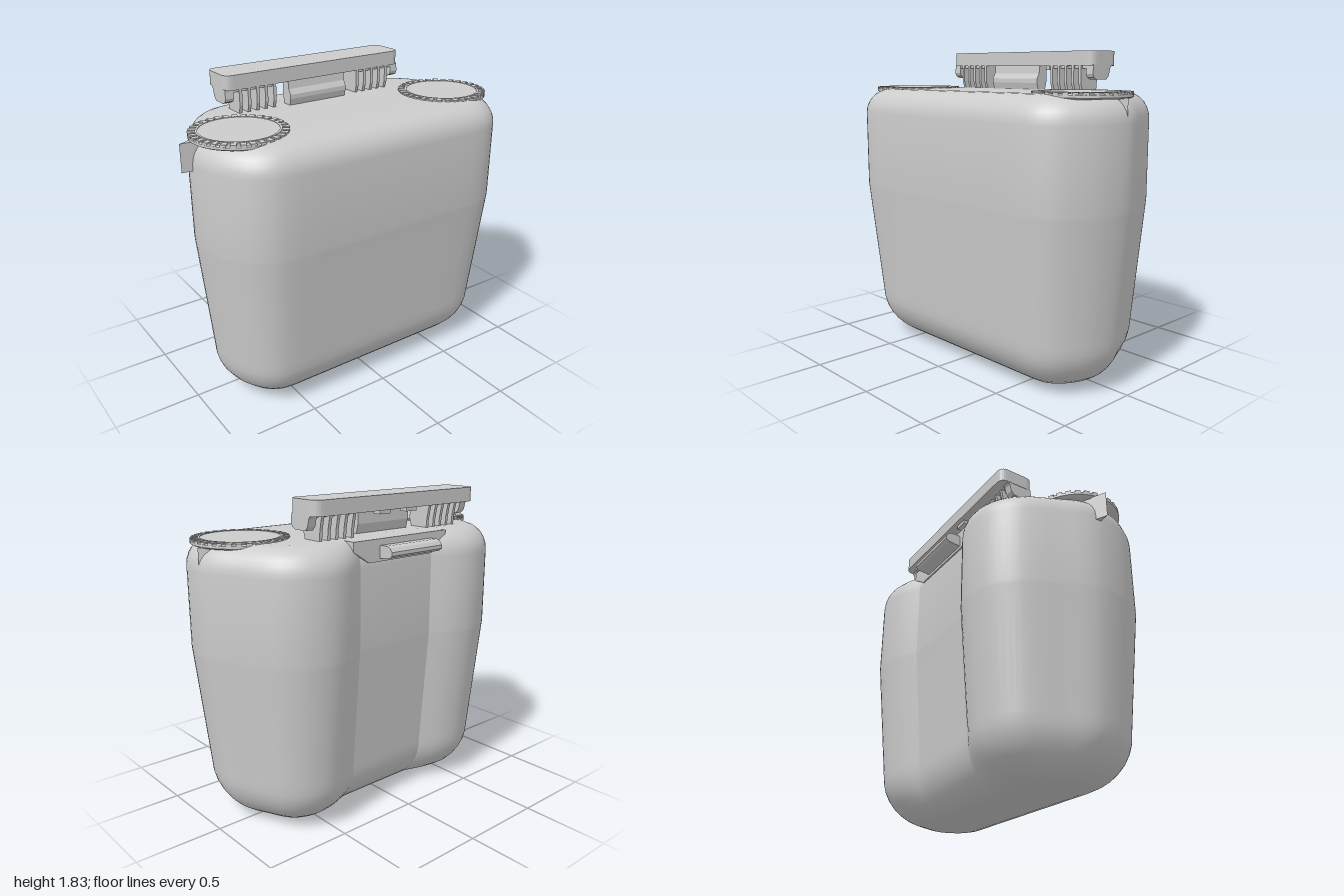
import * as THREE from 'three';
import { toCreasedNormals } from 'three/addons/utils/BufferGeometryUtils.js';

const material = new THREE.MeshStandardMaterial({ color: 0xcccccc });

function addMesh(parent, name, geometry) {
  const mesh = new THREE.Mesh(geometry, material);
  mesh.name = name;
  parent.add(mesh);
  return mesh;
}

// Extrude a side profile of [z, y] points along x
function sideExtrude(points, x, width) {
  const shape = new THREE.Shape(points.map(([z, y]) => new THREE.Vector2(-z, y)));
  const geo = new THREE.ExtrudeGeometry(shape, { depth: width, bevelEnabled: false });
  return geo.rotateY(Math.PI / 2).translate(x - width / 2, 0, 0);
}

// Extrude a plan shape (shape y = -z) upwards
function planExtrude(shape, y, height) {
  const geo = new THREE.ExtrudeGeometry(shape, { depth: height, bevelEnabled: false, curveSegments: 6 });
  return geo.rotateX(-Math.PI / 2).translate(0, y, 0);
}

// Body: two-lobed plan outline lofted upwards, with rounded bottom and top edges
function bodyGeometry() {
  const v = (x, z) => new THREE.Vector2(x, z);
  const curve = new THREE.SplineCurve([
    v(0.6, 0.5), v(0.72, 0.483), v(0.82, 0.425), v(0.89, 0.335), v(0.945, 0.22), v(0.97, 0.08),
    v(0.955, -0.02), v(0.895, -0.15), v(0.825, -0.3), v(0.765, -0.39), v(0.665, -0.465),
    v(0.53, -0.5), v(0.4, -0.475), v(0.27, -0.4)]);
  const half = [v(0, 0.5), v(0.47, 0.5), ...curve.getPoints(40), v(0, -0.4)];
  const outline = [...half, ...half.slice(1, -1).reverse().map((p) => v(-p.x, p.y))];

  const rows = [[0, 0.5]];
  for (let i = 0; i <= 9; i++) {
    const t = (i / 9) * Math.PI / 2;
    rows.push([0.3 * (1 - Math.cos(t)), 0.07 + 0.3 * (1 - Math.sin(t))]);
  }
  rows.push([0.99, 0.002], [1.01, 0]);
  for (let i = 0; i <= 7; i++) {
    const t = (i / 7) * Math.PI / 2;
    rows.push([1.457 + 0.15 * Math.sin(t), 0.15 * (1 - Math.cos(t))]);
  }
  rows.push([1.607, 0.5]);

  const n = outline.length, pos = [], index = [];
  for (const [y, inset] of rows) {
    for (const p of outline) {
      // Each point is drawn towards a central spine
      const spine = THREE.MathUtils.clamp(p.x, -0.47, 0.47), k = inset / 0.5;
      pos.push(THREE.MathUtils.lerp(p.x, spine, k) + 0.03, y, p.y * (1 - k));
    }
  }
  for (let j = 0; j < rows.length - 1; j++) {
    for (let i = 0; i < n; i++) {
      const a = j * n + i, b = j * n + (i + 1) % n;
      index.push(a, b, b + n, a, b + n, a + n);
    }
  }
  const geo = new THREE.BufferGeometry();
  geo.setAttribute('position', new THREE.Float32BufferAttribute(pos, 3));
  geo.setIndex(index);
  return toCreasedNormals(geo, 0.4);
}

// Round top dial with a toothed rim
function makeDial(name, x) {
  const dial = new THREE.Group();
  dial.name = name;
  dial.position.set(x, 0, 0.095);
  addMesh(dial, 'dialDisc', new THREE.CylinderGeometry(0.215, 0.215, 0.03, 40).translate(0, 1.599, 0));
  const rim = [[0.2, 1.58], [0.25, 1.58], [0.265, 1.588], [0.265, 1.602], [0.257, 1.609], [0.225, 1.609],
    [0.225, 1.617], [0.213, 1.617], [0.213, 1.61]];
  const rimGeo = new THREE.LatheGeometry(rim.map(([r, y]) => new THREE.Vector2(r, y)), 40);
  addMesh(dial, 'dialRim', toCreasedNormals(rimGeo, 0.3));
  const count = 32;
  for (let i = 0; i < count; i++) {
    const tooth = addMesh(dial, 'dialTooth', new THREE.BoxGeometry(0.04, 0.026, 0.03));
    const a = (i / count) * Math.PI * 2;
    tooth.position.set(Math.cos(a) * 0.244, 1.602, Math.sin(a) * 0.244);
    tooth.rotation.y = -a;
  }
  return dial;
}

// Top bar: rounded plate with end walls, ribs and a centre block
function makeTopBar() {
  const bar = new THREE.Group();
  bar.name = 'topBar';
  const cx = -0.022, hw = 0.597, z0 = -0.155, z1 = -0.375, r = 0.05;
  const plate = new THREE.Shape();
  plate.moveTo(cx - hw + r, -z0);
  plate.lineTo(cx + hw - r, -z0);
  plate.quadraticCurveTo(cx + hw, -z0, cx + hw, -z0 + r);
  plate.lineTo(cx + hw, -z1 - r);
  plate.quadraticCurveTo(cx + hw, -z1, cx + hw - r, -z1);
  plate.lineTo(cx - hw + r, -z1);
  plate.quadraticCurveTo(cx - hw, -z1, cx - hw, -z1 - r);
  plate.lineTo(cx - hw, -z0 + r);
  plate.quadraticCurveTo(cx - hw, -z0, cx - hw + r, -z0);
  addMesh(bar, 'barPlate', planExtrude(plate, 1.745, 0.083));

  const wall = [[-0.17, 1.75], [-0.165, 1.7], [-0.175, 1.68], [-0.2, 1.668], [-0.285, 1.668],
    [-0.305, 1.69], [-0.315, 1.73], [-0.33, 1.75]];
  const rib = [[-0.16, 1.75], [-0.16, 1.65], [-0.175, 1.6], [-0.295, 1.6], [-0.3, 1.66], [-0.31, 1.71], [-0.32, 1.75]];
  for (const s of [-1, 1]) {
    addMesh(bar, 'endWall', sideExtrude(wall, cx + s * (hw - 0.027), 0.05));
    for (let i = 0; i < 5; i++) {
      const x = cx + s * (0.288 + i * 0.054);
      addMesh(bar, 'rib', sideExtrude(rib, x, 0.018));
      // Short web closing the top of each slot
      addMesh(bar, 'slotTop', new THREE.BoxGeometry(0.04, 0.02, 0.12).translate(x + s * 0.027, 1.74, -0.23));
    }
    addMesh(bar, 'underPad', new THREE.BoxGeometry(0.08, 0.03, 0.05).translate(cx + s * 0.1, 1.737, -0.325));
  }

  const block = [[-0.165, 1.745], [-0.16, 1.7], [-0.142, 1.67], [-0.142, 1.645], [-0.155, 1.6],
    [-0.21, 1.6], [-0.225, 1.66], [-0.225, 1.745]];
  addMesh(bar, 'centreBlock', sideExtrude(block, cx - 0.005, 0.385));
  return bar;
}

export function createModel() {
  const model = new THREE.Group();
  model.name = 'body with dials';
  addMesh(model, 'body', bodyGeometry());
  model.add(makeDial('rightDial', -0.68), makeDial('leftDial', 0.72));
  model.add(makeTopBar());

  // Pointed side lugs
  for (const [name, tip, base] of [['rightLug', -1, -0.82], ['leftLug', 0.995, 0.87]]) {
    const shape = new THREE.Shape([[tip, -0.065], [base, 0.02], [base, -0.08]]
      .map(([x, y]) => new THREE.Vector2(x, y)));
    addMesh(model, name, planExtrude(tip < 0 ? shape : new THREE.Shape(shape.getPoints().reverse()), 1.43, 0.155));
  }

  // Back panel with slanted ends
  const panel = new THREE.Shape([[-0.24, 1.48], [0.24, 1.48], [0.35, 1.55], [0.35, 1.603], [-0.35, 1.603], [-0.35, 1.55]]
    .map(([x, y]) => new THREE.Vector2(x, y)));
  const panelGeo = new THREE.ExtrudeGeometry(panel, { depth: 0.15, bevelEnabled: false });
  addMesh(model, 'backPanel', panelGeo.translate(0.005, 0, -0.407));

  // Rounded latch tab on the back
  const tab = [[-0.38, 1.565], [-0.46, 1.57], [-0.485, 1.56], [-0.5, 1.54], [-0.5, 1.52], [-0.48, 1.505], [-0.38, 1.495]];
  addMesh(model, 'backTab', sideExtrude(tab, -0.025, 0.385));
  return model;
}
